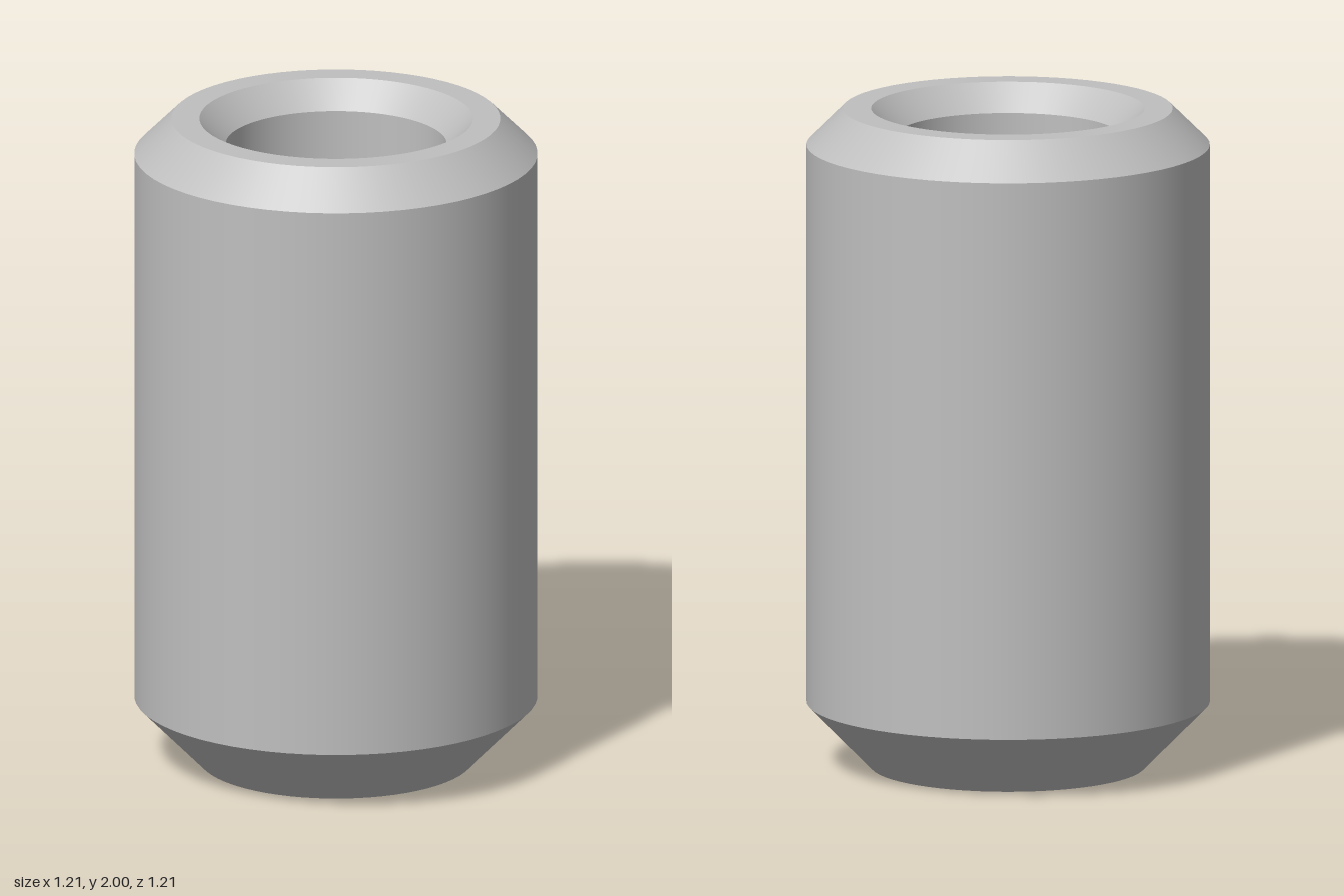
import * as THREE from 'three';

// Chamfered cylindrical pin with a countersunk blind bore in its top end.
export function createModel() {
  const group = new THREE.Group();
  group.name = 'dowelPin';
  const steel = new THREE.MeshStandardMaterial({ color: 0xbfbfbf });
  steel.name = 'steel grey';

  // Closed half-section as [radius, height], from the bottom centre, up the outside, down the bore
  const profile = [
    [0, 0], [0.41, 0], [0.603, 0.196], [0.603, 1.89], [0.492, 2],
    [0.408, 2], [0.33, 1.92], [0.33, 0.8], [0, 0.8],
  ];
  const names = [
    'bottomFace', 'bottomChamfer', 'body', 'topChamfer',
    'topRim', 'countersink', 'boreWall', 'boreFloor',
  ];

  // One lathe per section keeps the edges between them sharp
  names.forEach((name, i) => {
    const points = [profile[i], profile[i + 1]].map(([r, y]) => new THREE.Vector2(r, y));
    const mesh = new THREE.Mesh(new THREE.LatheGeometry(points, 64), steel);
    mesh.name = name;
    group.add(mesh);
  });
  return group;
}
